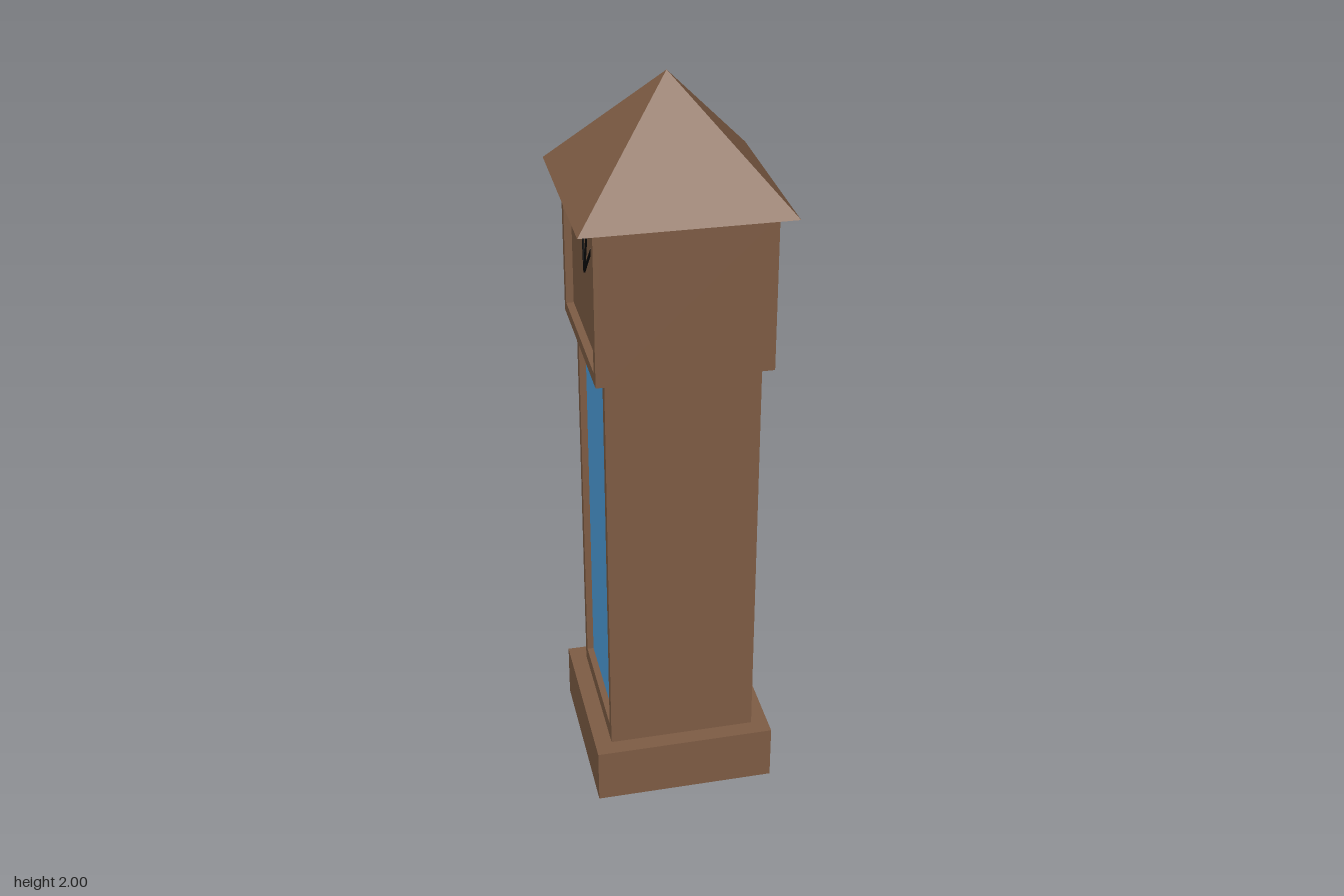
import * as THREE from 'three';

const wood = new THREE.MeshStandardMaterial({ color: 0x7f5d45, flatShading: true });
const glass = new THREE.MeshStandardMaterial({ color: 0x4fa2e0 });
const black = new THREE.MeshStandardMaterial({ color: 0x0a0a0a });

const RECESS = 0.02;

function add(parent, name, geometry, material, x = 0, y = 0, z = 0) {
  const mesh = new THREE.Mesh(geometry, material);
  mesh.name = name;
  mesh.position.set(x, y, z);
  parent.add(mesh);
  return mesh;
}

// Square case whose local +z side is a frame around a recessed panel
function framedCase(name, half, y0, y1, side, bottom, top) {
  const group = new THREE.Group();
  group.name = name;
  const h = y1 - y0;
  add(group, name + 'Body', new THREE.BoxGeometry(2 * half, h, 2 * half - RECESS), wood,
    0, y0 + h / 2, -RECESS / 2);

  const outline = new THREE.Shape([
    new THREE.Vector2(-half, y0), new THREE.Vector2(half, y0),
    new THREE.Vector2(half, y1), new THREE.Vector2(-half, y1),
  ]);
  const inner = half - side;
  outline.holes.push(new THREE.Path([
    new THREE.Vector2(-inner, y0 + bottom), new THREE.Vector2(-inner, y1 - top),
    new THREE.Vector2(inner, y1 - top), new THREE.Vector2(inner, y0 + bottom),
  ]));
  const frame = new THREE.ExtrudeGeometry(outline, { depth: RECESS, bevelEnabled: false });
  add(group, name + 'Frame', frame, wood, 0, 0, half - RECESS);
  return group;
}

export function createModel() {
  const model = new THREE.Group();
  model.name = 'longcaseClock';

  // Plinth
  add(model, 'plinth', new THREE.BoxGeometry(0.492, 0.157, 0.492), wood, 0, 0.0785, 0);

  // The glazed door and the dial both face -x
  const clock = new THREE.Group();
  clock.name = 'clockCase';
  clock.rotation.y = -Math.PI / 2;
  model.add(clock);

  // Trunk with glass door
  const trunk = framedCase('trunk', 0.2, 0.157, 1.29, 0.025, 0.045, 0.01);
  add(trunk, 'doorGlass', new THREE.PlaneGeometry(0.35, 1.078), glass, 0, 0.741, 0.2 - RECESS + 0.002);
  clock.add(trunk);

  // Hood with recessed dial
  const hood = framedCase('hood', 0.226, 1.29, 1.704, 0.025, 0.03, 0.03);
  clock.add(hood);

  // Hands, each given by its tip relative to the pivot
  const hands = [['minuteHand', 0.06, 0.156], ['hourHand', 0.11, 0.105], ['secondHand', -0.01, 0.085]];
  for (const [name, dx, dy] of hands) {
    const length = Math.hypot(dx, dy);
    const geometry = new THREE.BoxGeometry(0.007, length, 0.004).translate(0, length / 2, 0);
    const hand = add(hood, name, geometry, black, 0, 1.5, 0.226 - RECESS + 0.003);
    hand.rotation.z = -Math.atan2(dx, dy);
  }

  // Pyramid roof, set very slightly askew
  const roof = add(model, 'roof', new THREE.ConeGeometry(0.376, 0.296, 4), wood, 0, 1.852, 0);
  roof.rotation.y = 0.78;

  return model;
}
